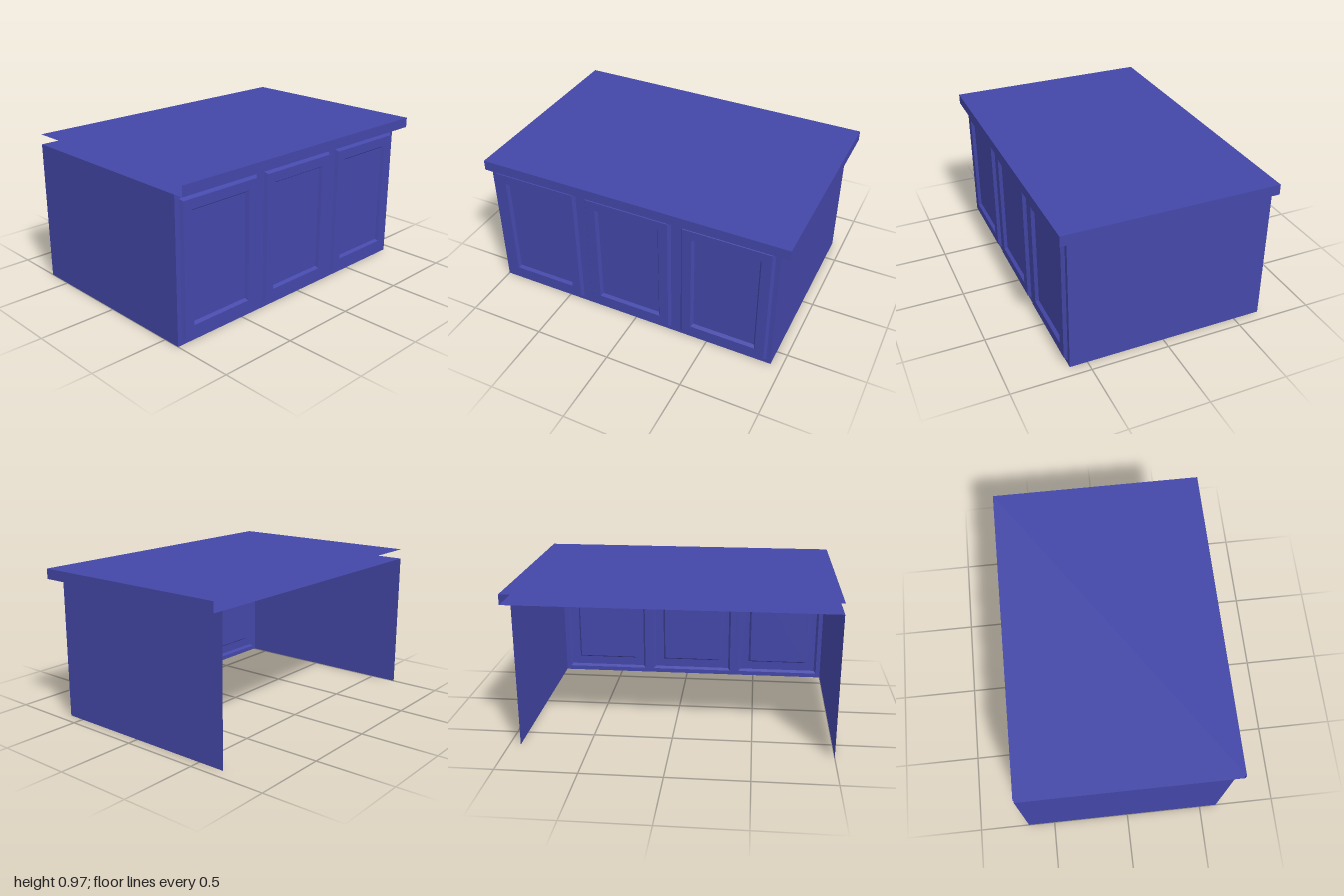
import * as THREE from 'three';

const mat = new THREE.MeshStandardMaterial({ color: 0x4447a8, side: THREE.DoubleSide, flatShading: true });

const X0 = -1, X1 = 0.93, H = 0.905, TOP = 0.97; // cabinet ends, cabinet height, counter top
const D = 0.675, FACE = 0.612, DOOR = 0.632;     // half depth, frame plane, door plane

function addMesh(parent, name, geometry) {
  const mesh = new THREE.Mesh(geometry, mat);
  mesh.name = name;
  parent.add(mesh);
  return mesh;
}

// Flat sheet from four corners, counter-clockwise seen from outside
function sheet(a, b, c, d) {
  const g = new THREE.BufferGeometry();
  g.setAttribute('position', new THREE.Float32BufferAttribute([a, b, c, a, c, d].flat(), 3));
  g.computeVertexNormals();
  return g;
}

// Corners of a rectangle shrunk by an inset, at depth z
function ring(r, inset, z) {
  const [l, b, w, h] = r;
  const x0 = l + inset, x1 = l + w - inset, y0 = b + inset, y1 = b + h - inset;
  return [[x0, y0, z], [x1, y0, z], [x1, y1, z], [x0, y1, z]];
}

// Door skin: nested rectangular rings joined by bevels and closed by a flat panel
function doorGeometry(r) {
  const rings = [ring(r, 0, FACE), ring(r, 0.014, DOOR), ring(r, 0.075, DOOR), ring(r, 0.088, FACE)];
  const pos = [];
  const quad = (a, b, c, d) => pos.push(...a, ...b, ...c, ...a, ...c, ...d);
  for (let k = 0; k < rings.length - 1; k++) {
    for (let i = 0; i < 4; i++) {
      const j = (i + 1) % 4;
      quad(rings[k][i], rings[k][j], rings[k + 1][j], rings[k + 1][i]);
    }
  }
  quad(...rings[rings.length - 1]);
  const g = new THREE.BufferGeometry();
  g.setAttribute('position', new THREE.Float32BufferAttribute(pos, 3));
  g.computeVertexNormals();
  return g;
}

function rectPath(target, l, b, w, h) {
  target.moveTo(l, b);
  target.lineTo(l + w, b);
  target.lineTo(l + w, b + h);
  target.lineTo(l, b + h);
  target.closePath();
  return target;
}

export function createModel() {
  const model = new THREE.Group();
  model.name = 'cabinet';

  // Front frame with an opening for each door
  const doors = [-0.97, -0.325, 0.32].map((x) => [x, 0.03, 0.58, 0.845]);
  const frame = rectPath(new THREE.Shape(), X0, 0, X1 - X0, H);
  for (const r of doors) frame.holes.push(rectPath(new THREE.Path(), ...r));
  addMesh(model, 'frontFrame', new THREE.ShapeGeometry(frame)).position.z = FACE;

  // Raised doors with a recessed centre panel
  doors.forEach((r, i) => addMesh(model, `door${i + 1}`, doorGeometry(r)));

  // Side panels; back and underside stay open
  addMesh(model, 'leftSide', sheet([X1, 0, FACE], [X1, 0, -D], [X1, H, -D], [X1, H, FACE]));
  addMesh(model, 'rightSide', sheet([X0, 0, -D], [X0, 0, FACE], [X0, H, FACE], [X0, H, -D]));

  // Countertop shell: top, underside, front edge and left edge
  const counter = new THREE.Group();
  counter.name = 'countertop';
  addMesh(counter, 'counterTop', sheet([-1, TOP, D], [1, TOP, D], [1, TOP, -D], [-1, TOP, -D]));
  addMesh(counter, 'counterUnderside', sheet([-1, H, -D], [1, H, -D], [1, H, D], [-1, H, D]));
  addMesh(counter, 'counterFrontEdge', sheet([-1, H, D], [1, H, D], [1, TOP, D], [-1, TOP, D]));
  addMesh(counter, 'counterLeftEdge', sheet([1, H, D], [1, H, -D], [1, TOP, -D], [1, TOP, D]));
  model.add(counter);

  return model;
}
